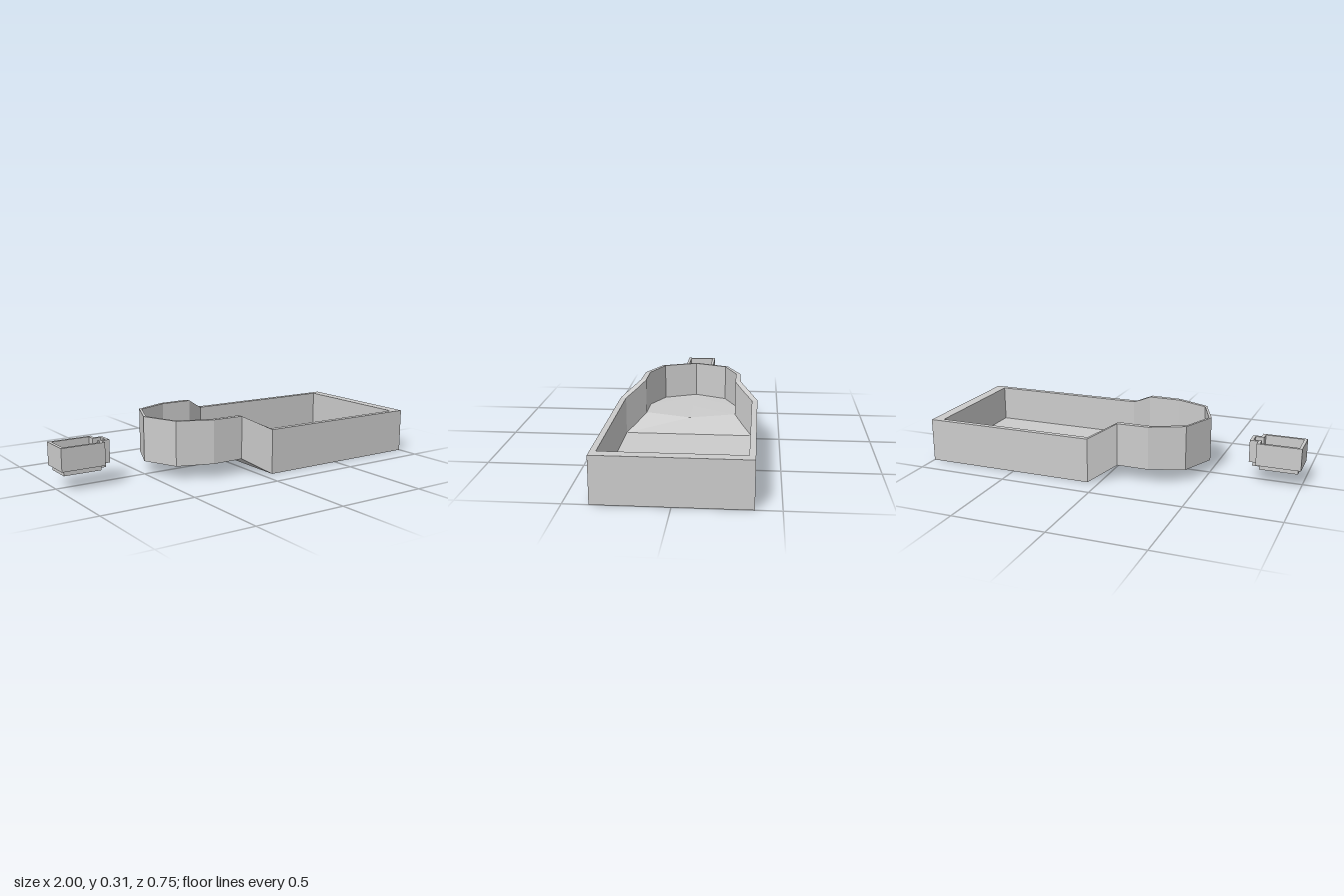
import * as THREE from 'three';

const material = new THREE.MeshStandardMaterial({ color: 0xcccccc, flatShading: true, side: THREE.DoubleSide });

// Lofts half cross-sections along x and mirrors them across z = 0.
function mirroredLoft(sections) {
  const pos = [];
  for (const side of [1, -1]) {
    const tri = (a, b, c) => {
      for (const p of side > 0 ? [a, b, c] : [a, c, b]) pos.push(p[0], p[1], p[2] * side);
    };
    for (let i = 0; i < sections.length - 1; i++) {
      const s = sections[i], t = sections[i + 1];
      for (let j = 0; j < s.length - 1; j++) {
        tri(s[j], s[j + 1], t[j + 1]);
        tri(s[j], t[j + 1], t[j]);
      }
    }
  }
  const geo = new THREE.BufferGeometry();
  geo.setAttribute('position', new THREE.Float32BufferAttribute(pos, 3));
  geo.computeVertexNormals();
  return geo;
}

// Large tray: raised pointed end, ramp, then a deep rectangular basin.
function largeTray() {
  // outer x, outer z, inner x, inner z, bottom y, rim y, floor centre x, floor centre y
  const stations = [
    [-0.5, 0, -0.485, 0, 0.07, 0.31, -0.485, 0.115],
    [-0.42, 0.195, -0.413, 0.18, 0.072, 0.31, -0.413, 0.115],
    [-0.24, 0.275, -0.24, 0.25, 0.077, 0.31, -0.24, 0.115],
    [-0.07, 0.28, -0.065, 0.25, 0.08, 0.31, 0, 0.115],
    [-0.005, 0.328, 0, 0.295, 0.04, 0.275, 0, 0.115],
    [0.06, 0.375, 0.07, 0.345, 0, 0.24, 0.07, 0.04],
    [1, 0.375, 0.94, 0.345, 0, 0.237, 0.94, 0.04],
    [1, 0, 0.94, 0, 0, 0.237, 0.94, 0.04],
  ];
  const sections = stations.map(([xo, zo, xi, zi, yb, yt, xc, yc]) => [
    [xc, yc, 0],
    [xi, yb + 0.04, zi],
    [xi, yt, zi],
    [xo, yt, zo],
    [xo, yb, zo],
    [xo, yb, 0],
  ]);
  return mirroredLoft(sections);
}

// Box outline with a narrow neck on its +x side, shrunk by an inset.
function neckedOutline(inset, Type = THREE.Shape) {
  const l = -1 + inset, m = -0.765 - inset, r = -0.72 - inset;
  const w = 0.086 - inset, n = 0.043 - inset;
  return new Type([
    [l, -w], [m, -w], [m, -n], [r, -n], [r, n], [m, n], [m, w], [l, w],
  ].map(([x, z]) => new THREE.Vector2(x, z)));
}

// Extrudes an outline upward between two heights.
function slab(shape, y0, y1) {
  const geo = new THREE.ExtrudeGeometry(shape, { depth: y1 - y0, bevelEnabled: false });
  geo.rotateX(-Math.PI / 2);
  geo.translate(0, y0, 0);
  return geo;
}

export function createModel() {
  const model = new THREE.Group();
  model.name = 'trays';
  const add = (name, geo, parent) => {
    const mesh = new THREE.Mesh(geo, material);
    mesh.name = name;
    parent.add(mesh);
  };

  add('largeTray', largeTray(), model);

  // Small box: hollow wall ring, floor and inset foot
  const box = new THREE.Group();
  box.name = 'smallBox';
  const ring = neckedOutline(0);
  ring.holes.push(neckedOutline(0.016, THREE.Path));
  add('boxWall', slab(ring, 0.105, 0.225), box);
  add('boxFoot', slab(neckedOutline(0.016), 0.08, 0.105), box);
  model.add(box);
  return model;
}
